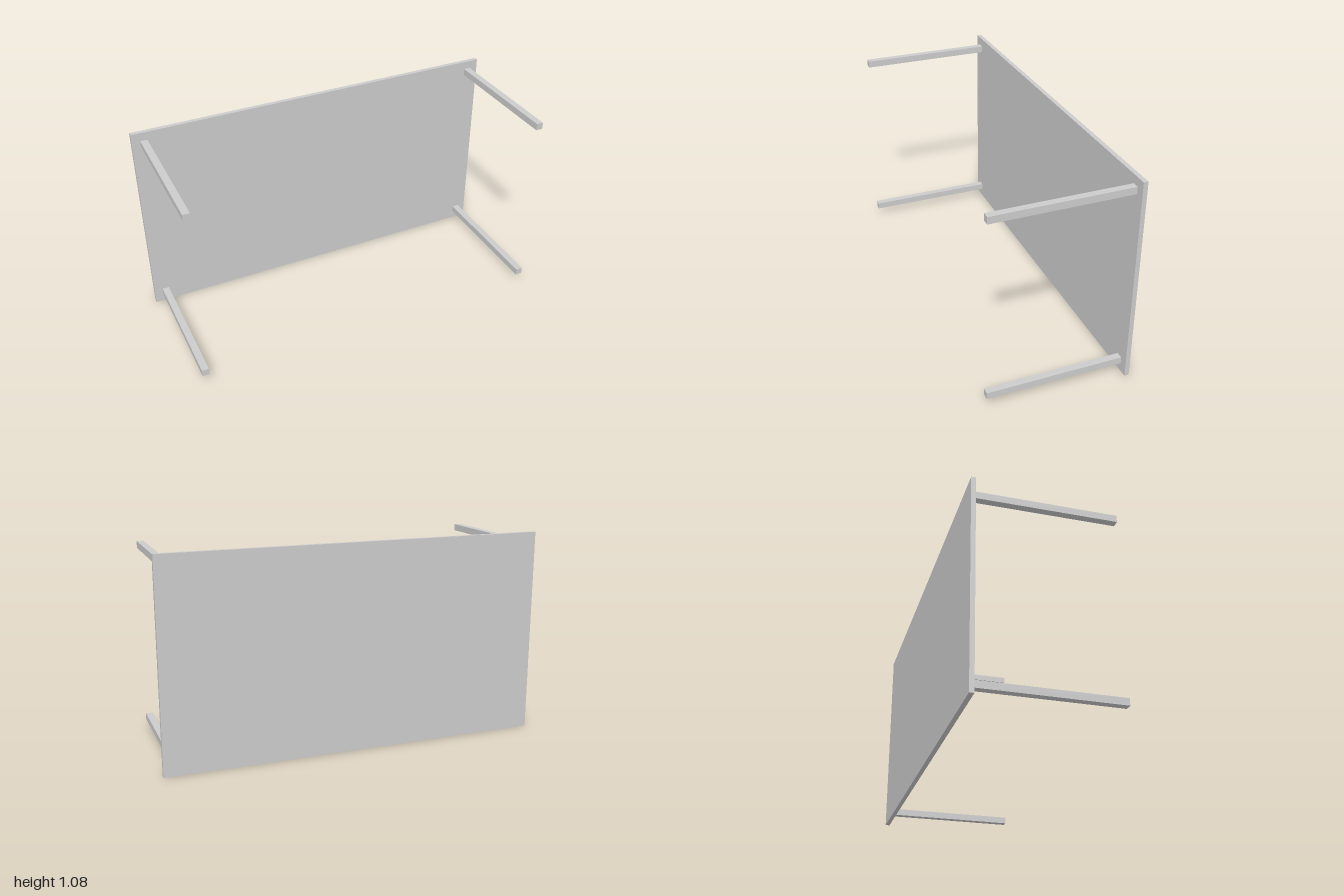
import * as THREE from 'three';

// A table resting on the long edge of its top, legs pointing forward
export function createModel() {
  const group = new THREE.Group();
  const material = new THREE.MeshStandardMaterial({ color: 0xcccccc, flatShading: true });
  const width = 2, height = 1.075, depth = 0.726, thickness = 0.023;
  const legSize = 0.036, legLength = depth - thickness;

  const addBox = (name, w, h, d, x, y, z) => {
    const mesh = new THREE.Mesh(new THREE.BoxGeometry(w, h, d), material);
    mesh.name = name;
    mesh.position.set(x, y, z);
    group.add(mesh);
  };

  // Table top
  addBox('tableTop', width, height, thickness, 0, height / 2, -depth / 2 + thickness / 2);

  // Four square legs, inset from the corners
  for (const [side, sx] of [['Left', 1], ['Right', -1]]) {
    for (const [level, sy] of [['upper', 1], ['lower', -1]]) {
      addBox(`${level}${side}Leg`, legSize, legSize, legLength,
        sx * 0.938, height / 2 + sy * 0.475, thickness / 2);
    }
  }
  return group;
}
